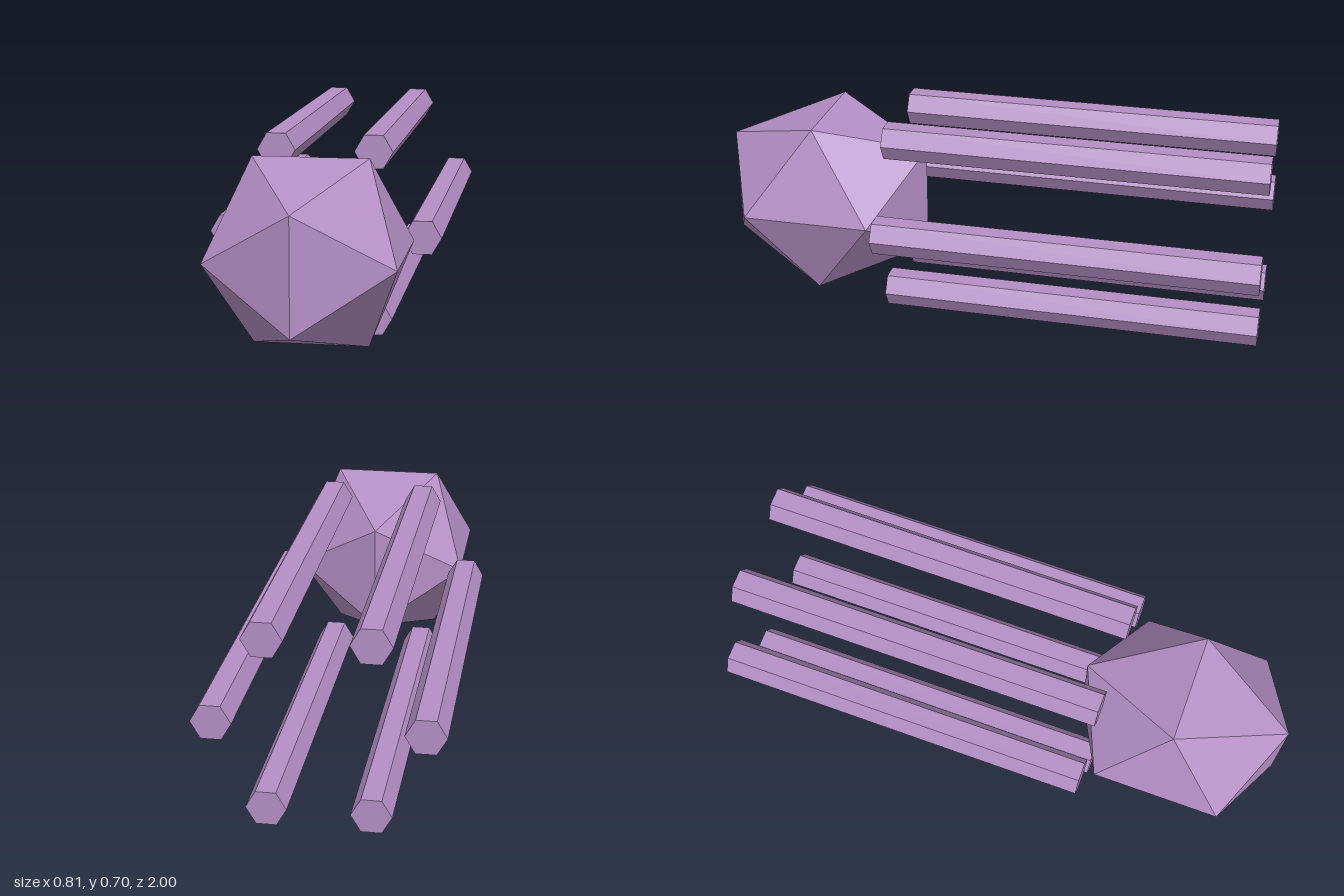
import * as THREE from 'three';

export function createModel() {
  const model = new THREE.Group();
  const purple = new THREE.MeshStandardMaterial({ color: 0xb48ec4 });
  purple.name = 'purple';
  purple.flatShading = true;

  const centreY = 0.353;

  // Faceted head, stretched along its length
  const head = new THREE.Mesh(new THREE.IcosahedronGeometry(0.371, 0).scale(1, 1, 1.18), purple);
  head.name = 'head';
  head.position.set(0, centreY, 0.627);
  model.add(head);

  // Ring of six hexagonal rods trailing behind the head, corners pointing sideways
  const rods = new THREE.Group();
  rods.name = 'trailingRods';
  const rodGeometry = new THREE.CylinderGeometry(0.067, 0.067, 1.357, 6, 1, false, Math.PI / 6)
    .rotateX(Math.PI / 2);
  const ringRadius = 0.339;
  for (let i = 0; i < 6; i++) {
    const angle = (i * Math.PI) / 3;
    const rod = new THREE.Mesh(rodGeometry, purple);
    rod.name = `rod${i + 1}`;
    rod.position.set(Math.cos(angle) * ringRadius, centreY + Math.sin(angle) * ringRadius, -0.3215);
    rods.add(rod);
  }
  model.add(rods);

  return model;
}
